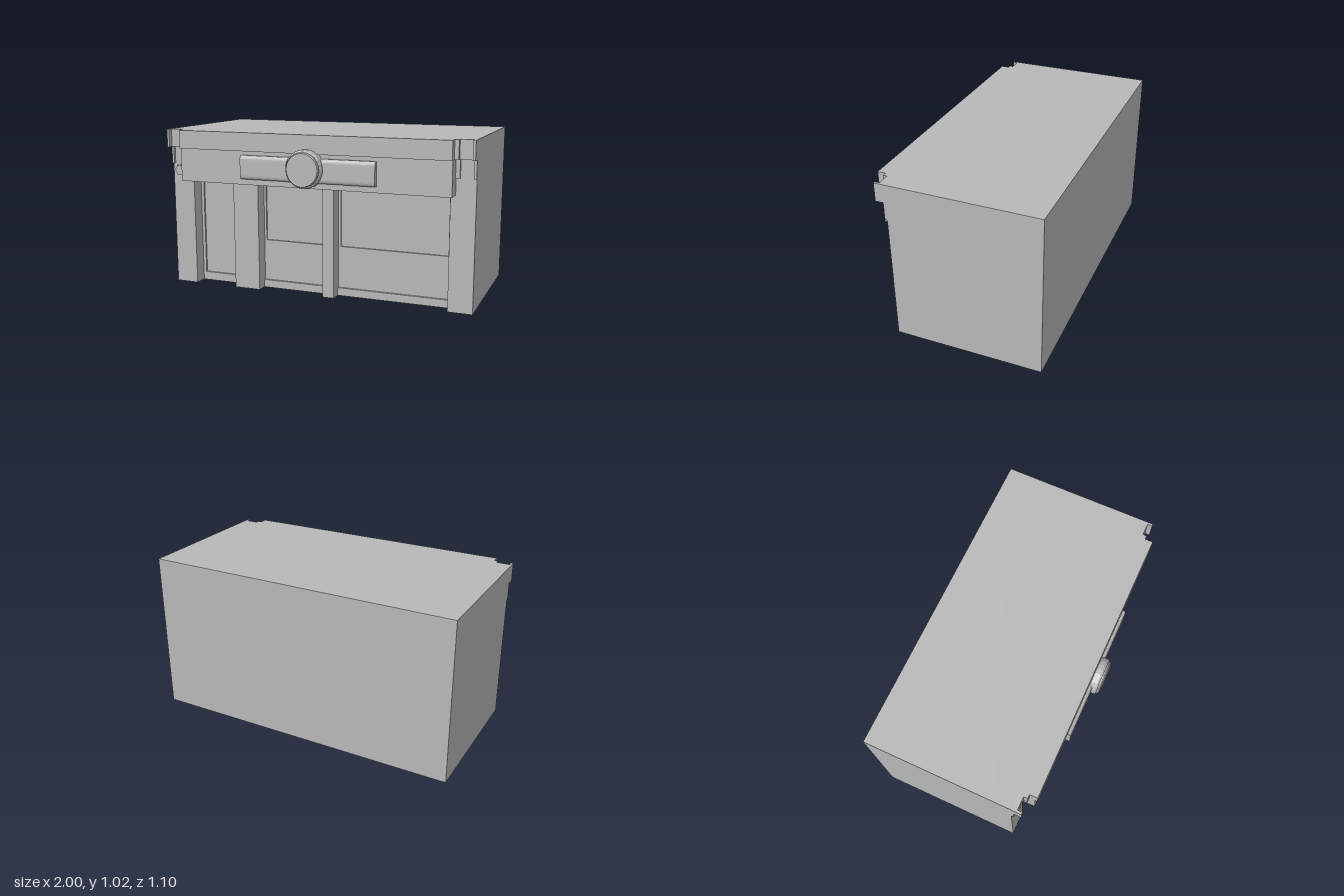
import * as THREE from 'three';

export function createModel() {
  const model = new THREE.Group();
  model.name = 'shopBuilding';
  const grey = new THREE.MeshStandardMaterial({ color: 0xb8b8b8 });
  grey.name = 'plainGrey';
  const faceted = (g) => { const n = g.toNonIndexed(); n.computeVertexNormals(); return n; };

  const add = (name, geometry) => {
    const mesh = new THREE.Mesh(geometry, grey);
    mesh.name = name;
    model.add(mesh);
    return mesh;
  };
  // Box given by its limits on each axis
  const block = (name, x0, x1, y0, y1, z0, z1) => {
    const mesh = add(name, new THREE.BoxGeometry(x1 - x0, y1 - y0, z1 - z0));
    mesh.position.set((x0 + x1) / 2, (y0 + y1) / 2, (z0 + z1) / 2);
    return mesh;
  };
  const rect = (S, x0, x1, y0, y1) => {
    const s = new S();
    s.moveTo(x0, y0); s.lineTo(x1, y0); s.lineTo(x1, y1); s.lineTo(x0, y1); s.closePath();
    return s;
  };

  const TOP = 1.025, WALL = 0.375, RECESS = 0.29, BACK = -0.55;

  // Main mass and the upper storey over the openings
  block('mainBody', -1, 1, 0, TOP, BACK, RECESS - 0.012);
  block('upperWall', -1, 1, 0.7, TOP, RECESS - 0.012, WALL);

  // Piers between the openings
  [[-1, -0.85], [-0.56, -0.385], [0.055, 0.13], [0.85, 1]].forEach(([a, b]) =>
    block('pier', a, b, 0, 0.7, RECESS - 0.012, WALL));

  // Recessed frames around the door and the windows
  [
    ['doorFrame', -0.85, -0.56, -0.83, -0.575, 0.055, 0.67],
    ['smallWindowFrame', -0.385, 0.055, -0.37, 0.043, 0.315, 0.685],
    ['largeWindowFrame', 0.13, 0.85, 0.145, 0.83, 0.315, 0.685],
  ].forEach(([name, x0, x1, h0, h1, y0, y1]) => {
    const s = rect(THREE.Shape, x0, x1, 0, 0.7);
    s.holes.push(rect(THREE.Path, h0, h1, y0, y1));
    add(name, new THREE.ExtrudeGeometry(s, { depth: 0.012, bevelEnabled: false }))
      .position.z = RECESS - 0.012;
  });
  block('smallWindowPlinth', -0.385, 0.055, 0, 0.05, RECESS, RECESS + 0.015);
  block('largeWindowPlinth', 0.13, 0.85, 0, 0.05, RECESS, RECESS + 0.015);

  // Fascia with projecting top band
  block('fascia', -0.88, 0.88, 0.7, 0.91, WALL, 0.47);
  block('fasciaBand', -0.88, 0.88, 0.91, TOP, WALL, 0.485);

  // Stepped cornice at both corners
  for (const s of [-1, 1]) {
    const corner = (name, a, b, y0, y1, z) =>
      block(name, Math.min(s * a, s * b), Math.max(s * a, s * b), y0, y1, WALL, z);
    corner('outerCornice', 0.985, 1, 0.91, TOP, 0.44);
    corner('outerCorniceFoot', 0.985, 1, 0.8, 0.91, 0.39);
    corner('middleCornice', 0.905, 0.985, 0.91, TOP, 0.41);
    corner('innerCornice', 0.88, 0.905, 0.91, TOP, 0.435);
    corner('innerCorniceFoot', 0.88, 0.905, 0.8, 0.91, 0.39);
  }

  // Sign bar with rounded front edges
  const bar = new THREE.Shape();
  bar.moveTo(-0.465, 0.737);
  bar.lineTo(-0.485, 0.737);
  bar.quadraticCurveTo(-0.503, 0.74, -0.503, 0.765);
  bar.lineTo(-0.503, 0.857);
  bar.quadraticCurveTo(-0.503, 0.882, -0.485, 0.885);
  bar.lineTo(-0.465, 0.885);
  bar.closePath();
  const barMesh = add('signBar', new THREE.ExtrudeGeometry(bar, { depth: 0.875, bevelEnabled: false, curveSegments: 5 }));
  barMesh.rotation.y = Math.PI / 2;
  barMesh.position.x = -0.44;

  // Round disc on the sign, with a stepped rim and a shallow dish
  const profile = [[0.1, 0], [0.117, 0.005], [0.117, 0.055], [0.111, 0.064],
    [0.106, 0.066], [0.106, 0.075], [0.1, 0.082], [0.096, 0.08], [0, 0.08]]
    .map(([r, h]) => new THREE.Vector2(r, h));
  const disc = add('signDisc', faceted(new THREE.LatheGeometry(profile, 24)));
  disc.rotation.x = Math.PI / 2;
  disc.position.set(-0.005, 0.822, 0.467);

  // Small hexagonal lamp on the left-hand pier
  const lamp = add('hexLamp', faceted(new THREE.CylinderGeometry(0.034, 0.04, 0.025, 6)));
  lamp.rotation.set(Math.PI / 2, Math.PI / 6, 0);
  lamp.position.set(-0.943, 0.757, WALL + 0.01);

  return model;
}
